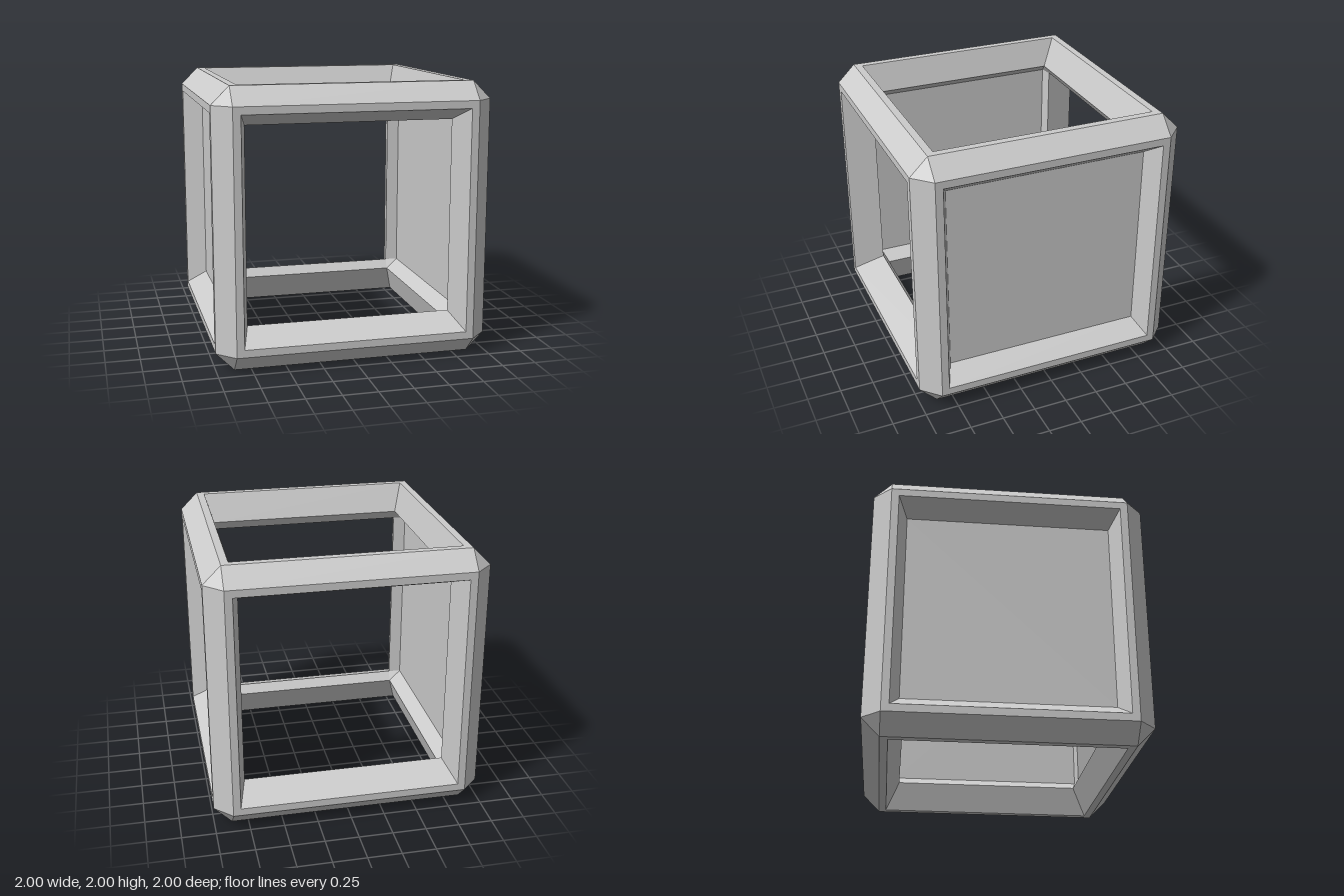
import * as THREE from 'three';

// Corner offsets of each face (x, y, z faces): outer border, rim of the opening, inner end of the opening
const OUTER = [[1, 0.87, 0.87], [0.87, 1, 0.87], [0.87, 0.87, 1]];
const RIM = [[1, 0.815, 0.815], [0.815, 1, 0.815], [0.815, 0.815, 1]];
const INNER = [[0.85, 0.715, 0.75], [0.75, 0.787, 0.717], [0.755, 0.717, 0.765]];
const SIGNS = [-1, 1];
const RING = [[1, 1], [-1, 1], [-1, -1], [1, -1]];

const corner = (level, axis, signs) =>
  new THREE.Vector3(...level[axis].map((v, i) => v * signs[i]));

const centre = (pts) =>
  pts.reduce((sum, p) => sum.add(p), new THREE.Vector3()).divideScalar(pts.length);

// Collects flat convex faces, each turned to look along a given direction
class Faces {
  constructor() { this.positions = []; }
  add(pts, dir) {
    const normal = pts[1].clone().sub(pts[0]).cross(pts[2].clone().sub(pts[0]));
    const p = normal.dot(dir) < 0 ? [...pts].reverse() : pts;
    for (let i = 1; i < p.length - 1; i++)
      for (const v of [p[0], p[i], p[i + 1]]) this.positions.push(v.x, v.y, v.z);
  }
  mesh(name, side = THREE.FrontSide) {
    const geometry = new THREE.BufferGeometry();
    geometry.setAttribute('position', new THREE.Float32BufferAttribute(this.positions, 3));
    geometry.computeVertexNormals();
    const material = new THREE.MeshStandardMaterial({ color: 0xcccccc, flatShading: true, side });
    const mesh = new THREE.Mesh(geometry, material);
    mesh.name = name;
    mesh.position.y = 1;
    return mesh;
  }
}

export function createModel() {
  const rims = new Faces(), reveals = new Faces(), panels = new Faces();
  const outerBevels = new Faces(), innerBevels = new Faces();

  for (let a = 0; a < 3; a++) {
    const b = (a + 1) % 3, c = (a + 2) % 3;

    // Six window faces: flat rim and tapered reveal
    for (const s of SIGNS) {
      const signs = RING.map(([u, v]) => {
        const t = [0, 0, 0];
        t[a] = s; t[b] = u; t[c] = v;
        return t;
      });
      const outward = new THREE.Vector3().setComponent(a, s);
      for (let k = 0; k < 4; k++) {
        const i = signs[k], j = signs[(k + 1) % 4];
        const strip = (from, to) =>
          [corner(from, a, i), corner(from, a, j), corner(to, a, j), corner(to, a, i)];
        rims.add(strip(OUTER, RIM), outward);
        const reveal = strip(RIM, INNER);
        reveals.add(reveal, centre(reveal).setComponent(a, 0).negate());
      }
      // Thin panels close the two side windows
      if (a === 0) panels.add(signs.map((t) => corner(INNER, a, t)), outward);
    }

    // Bevels along the edges, outside and inside
    for (const sa of SIGNS) for (const sb of SIGNS) {
      const end = (sc) => {
        const t = [0, 0, 0];
        t[a] = sa; t[b] = sb; t[c] = sc;
        return t;
      };
      const bevel = (level) => [
        corner(level, a, end(1)), corner(level, a, end(-1)),
        corner(level, b, end(-1)), corner(level, b, end(1)),
      ];
      const out = bevel(OUTER), inn = bevel(INNER);
      outerBevels.add(out, centre(out));
      innerBevels.add(inn, centre(inn).negate());
    }
  }

  // Triangles at the eight corners
  for (const x of SIGNS) for (const y of SIGNS) for (const z of SIGNS) {
    const tri = (level) => [0, 1, 2].map((a) => corner(level, a, [x, y, z]));
    const dir = new THREE.Vector3(x, y, z);
    outerBevels.add(tri(OUTER), dir);
    innerBevels.add(tri(INNER), dir.clone().negate());
  }

  const group = new THREE.Group();
  group.name = 'cubeFrame';
  group.add(
    rims.mesh('windowRims'),
    reveals.mesh('windowReveals'),
    outerBevels.mesh('outerBevels'),
    innerBevels.mesh('innerBevels'),
    panels.mesh('sidePanels', THREE.DoubleSide),
  );
  return group;
}
